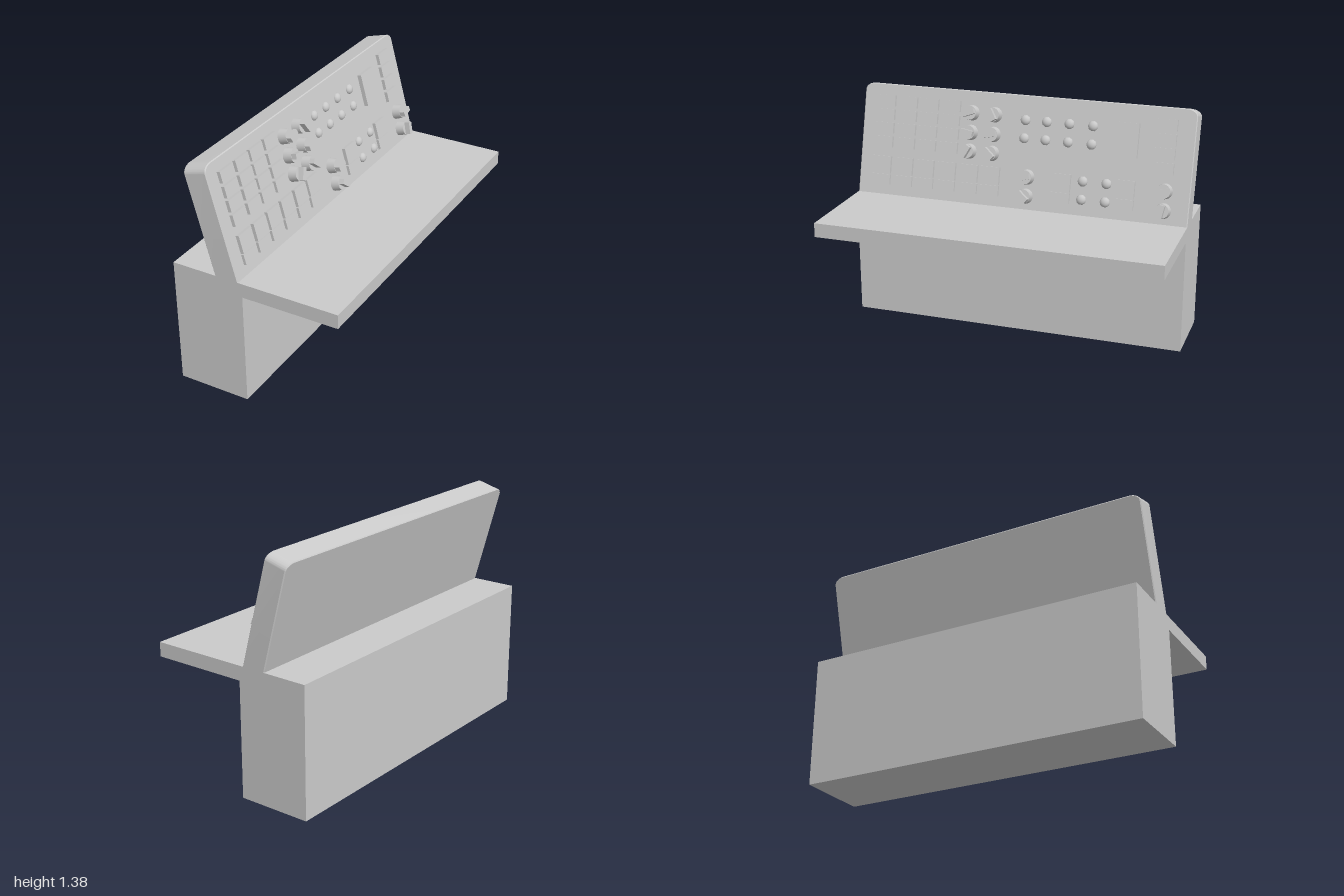
import * as THREE from 'three';
import { toCreasedNormals } from 'three/addons/utils/BufferGeometryUtils.js';

const TILT = Math.atan2(0.172, 0.635);
const grey = new THREE.MeshStandardMaterial({ color: 0xcacaca });
grey.name = 'plain grey';

function add(parent, name, geometry, x = 0, y = 0, z = 0) {
  const mesh = new THREE.Mesh(geometry, grey);
  mesh.name = name;
  mesh.position.set(x, y, z);
  parent.add(mesh);
  return mesh;
}

// Cabinet and overhanging desk top, as one profile run along z
function deskGeometry() {
  const profile = new THREE.Shape([
    [-0.5, 0], [-0.07, 0], [-0.07, 0.669], [0.5, 0.669], [0.5, 0.752], [-0.5, 0.752],
  ].map(([x, y]) => new THREE.Vector2(x, y)));
  return new THREE.ExtrudeGeometry(profile, { depth: 2, bevelEnabled: false }).translate(0, 0, -1);
}

// Upright board with rounded upper corners and a fine bevel; face at local z = 0
function boardGeometry() {
  const top = 0.657, rx = 0.065, ry = 0.042, bottom = -0.04, bevel = 0.005, thick = 0.139;
  const s = new THREE.Shape();
  s.moveTo(-1, bottom);
  s.lineTo(1, bottom);
  s.lineTo(1, top - ry);
  s.absellipse(1 - rx, top - ry, rx, ry, 0, Math.PI / 2, false, 0);
  s.lineTo(-1 + rx, top);
  s.absellipse(-1 + rx, top - ry, rx, ry, Math.PI / 2, Math.PI, false, 0);
  s.closePath();
  const g = new THREE.ExtrudeGeometry(s, {
    depth: thick - 2 * bevel, curveSegments: 8, bevelEnabled: true,
    bevelThickness: bevel, bevelSize: bevel, bevelOffset: -bevel, bevelSegments: 1,
  });
  return toCreasedNormals(g.translate(0, 0, bevel - thick), 0.5);
}

// Controls are placed by their world z and height, on the sloping face
const along = (y) => (y - 0.752) / Math.cos(TILT);

function addButton(panel, name, z, y, w, h, raise = 0.02) {
  add(panel, name, new THREE.BoxGeometry(w, h, raise + 0.01), -z, along(y), raise / 2 - 0.005);
}

function addKnob(panel, z, y, degrees) {
  const knob = new THREE.Group();
  knob.name = 'rotaryKnob';
  knob.position.set(-z, along(y), 0);
  const skirt = new THREE.CylinderGeometry(0.04, 0.045, 0.05, 20).rotateX(Math.PI / 2);
  add(knob, 'knobBase', skirt, 0, 0, 0.025);
  const grip = add(knob, 'knobGrip', new THREE.BoxGeometry(0.072, 0.03, 0.034), 0, 0, 0.065);
  grip.rotation.z = THREE.MathUtils.degToRad(degrees);
  panel.add(knob);
}

function addLamp(panel, z, y) {
  const dome = new THREE.SphereGeometry(0.03, 10, 4, 0, Math.PI * 2, 0, Math.PI / 2);
  dome.rotateX(Math.PI / 2).scale(1, 1, 0.75);
  add(panel, 'indicatorLamp', dome, -z, along(y), 0);
}

export function createModel() {
  const model = new THREE.Group();
  model.name = 'controlDesk';
  add(model, 'desk', deskGeometry());

  // Sloping panel: local x runs to -z, local y up the slope, local z out of the face
  const panel = new THREE.Group();
  panel.name = 'controlPanel';
  const c = Math.cos(TILT), s = Math.sin(TILT);
  panel.quaternion.setFromRotationMatrix(new THREE.Matrix4().makeBasis(
    new THREE.Vector3(0, 0, -1), new THREE.Vector3(-s, c, 0), new THREE.Vector3(c, s, 0)));
  panel.position.set(-0.093, 0.752, 0);
  model.add(panel);
  add(panel, 'panelBoard', boardGeometry());

  // Upper button blocks
  for (const z of [0.856, 0.717, 0.583, 0.446, -0.837])
    for (const y of [1.29, 1.211, 1.134, 1.055])
      addButton(panel, 'pushButton', z, y, 0.117, 0.064);

  // Lower paired buttons
  for (const z of [0.856, 0.717, 0.583, 0.446, 0.308, 0.174, -0.254, -0.628]) {
    addButton(panel, 'tallButton', z, 0.922, 0.115, 0.102);
    addButton(panel, 'shortButton', z, 0.838, 0.115, 0.06, 0.016);
  }

  // Display plate
  addButton(panel, 'displayPlate', -0.608, 1.19, 0.15, 0.195, 0.025);

  // Indicator lamps
  for (const z of [-0.011, -0.139, -0.273, -0.412])
    for (const y of [1.248, 1.147]) addLamp(panel, z, y);
  for (const z of [-0.38, -0.519])
    for (const y of [0.941, 0.84]) addLamp(panel, z, y);

  // Rotary knobs: z, height, turn in degrees
  for (const [z, y, turn] of [
    [0.316, 1.262, 20], [0.176, 1.262, 120], [0.316, 1.152, -10], [0.176, 1.152, 12],
    [0.316, 1.046, 62], [0.176, 1.046, -42], [-0.048, 0.934, 15], [-0.048, 0.827, -40],
    [-0.856, 0.934, 10], [-0.856, 0.827, 80],
  ]) addKnob(panel, z, y, turn);

  return model;
}
